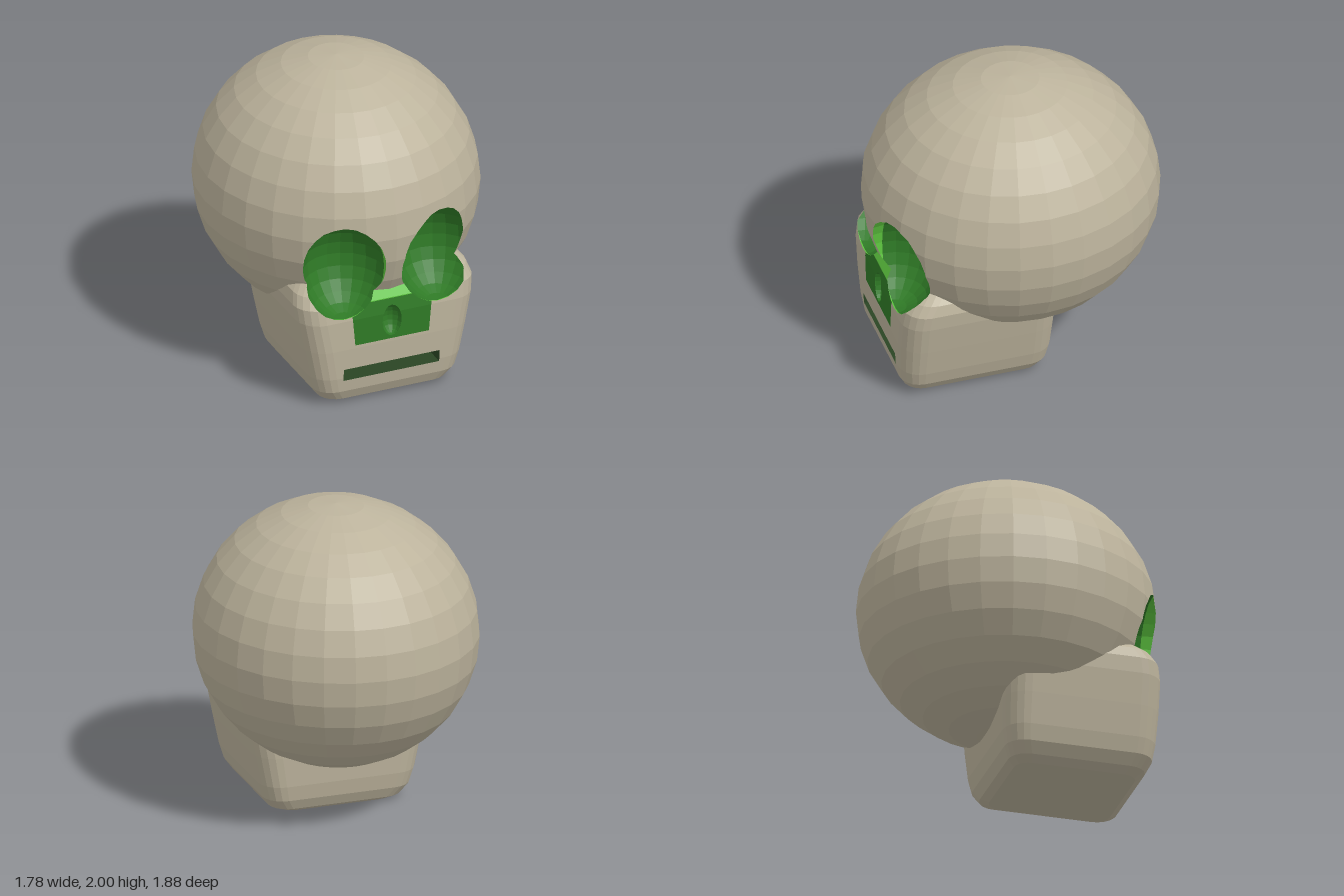
import * as THREE from 'three';
import { ConvexGeometry } from 'three/addons/geometries/ConvexGeometry.js';

const V = (x, y, z) => new THREE.Vector3(x, y, z);
const EPS = 1e-6;

// ---- convex solids as lists of polygons, cut against sets of planes ----
function polygonsOf(geometry) {
  const p = (geometry.index ? geometry.toNonIndexed() : geometry).attributes.position;
  const list = [];
  for (let i = 0; i < p.count; i += 3) {
    const t = [0, 1, 2].map((k) => V().fromBufferAttribute(p, i + k));
    if (new THREE.Triangle(...t).getArea() > 1e-9) list.push(t);
  }
  return list;
}

const normalOf = (poly) => new THREE.Triangle(poly[0], poly[1], poly[2]).getNormal(V());

function planesOf(polys) {
  const found = new Map();
  for (const poly of polys) {
    const plane = new THREE.Plane().setFromNormalAndCoplanarPoint(normalOf(poly), poly[0]);
    const key = [...plane.normal.toArray(), plane.constant].map((n) => n.toFixed(4)).join();
    found.set(key, plane);
  }
  return [...found.values()];
}

function split(poly, plane) {
  const d = poly.map((v) => plane.distanceToPoint(v));
  if (d.every((n) => n <= EPS)) return [null, poly];
  if (d.every((n) => n >= -EPS)) return [poly, null];
  const front = [], back = [];
  poly.forEach((a, i) => {
    const j = (i + 1) % poly.length;
    if (d[i] >= -EPS) front.push(a);
    if (d[i] <= EPS) back.push(a);
    if ((d[i] > EPS && d[j] < -EPS) || (d[i] < -EPS && d[j] > EPS)) {
      const cut = a.clone().lerp(poly[j], d[i] / (d[i] - d[j]));
      front.push(cut);
      back.push(cut);
    }
  });
  return [front, back];
}

// Sorts surface pieces into those outside and inside a convex solid
function divide(polys, planes) {
  const outside = [], inside = [];
  for (const poly of polys) {
    let rest = poly;
    const pieces = [];
    for (const plane of planes) {
      const [front, back] = split(rest, plane);
      if (front && back) pieces.push(front);
      rest = back;
      if (!rest) break;
    }
    if (rest) {
      inside.push(rest);
      outside.push(...pieces);
    } else outside.push(poly);
  }
  return { outside, inside };
}

const flip = (polys) => polys.map((p) => [...p].reverse());

function ellipsoid(center, radii, around, rings) {
  const g = new THREE.SphereGeometry(1, around, rings);
  g.scale(...radii).translate(...center);
  return polygonsOf(g);
}

// Jaw block: rounded rectangles [y, half width, front z, back z, corner radius]
function jawBlock() {
  const rows = [
    [0, 0.36, 0.75, -0.03, 0.09], [0.03, 0.43, 0.8, -0.08, 0.12],
    [0.1, 0.48, 0.835, -0.115, 0.13], [0.2, 0.51, 0.85, -0.133, 0.14],
    [0.4, 0.552, 0.86, -0.145, 0.15], [0.6, 0.59, 0.86, -0.147, 0.15],
    [0.7, 0.6, 0.845, -0.14, 0.15], [0.77, 0.58, 0.8, -0.1, 0.15],
    [0.82, 0.53, 0.74, -0.05, 0.14], [0.84, 0.46, 0.66, 0, 0.12],
  ];
  const points = [];
  for (const [y, hx, zf, zb, r] of rows) {
    for (let q = 0; q < 4; q++) {
      const sx = q === 0 || q === 3 ? 1 : -1;
      const cz = q < 2 ? zf - r : zb + r;
      for (let i = 0; i <= 5; i++) {
        const a = (q + i / 5) * Math.PI / 2;
        points.push(V(sx * (hx - r) + r * Math.cos(a), y, cz + r * Math.sin(a)));
      }
    }
  }
  return polygonsOf(new ConvexGeometry(points));
}

export function createModel() {
  const group = new THREE.Group();
  const material = (name, color) => {
    const m = new THREE.MeshStandardMaterial({ color });
    m.name = name;
    return m;
  };
  const bone = material('bone', 0xbcb39c);
  const deepGreen = material('deep green', 0x2f7a26);
  const brightGreen = material('bright green', 0x5cc43e);
  const mouthGreen = material('mouth green', 0x2a4524);

  const add = (name, polys, mat) => {
    const coords = [];
    for (const p of polys)
      for (let i = 1; i < p.length - 1; i++)
        for (const v of [p[0], p[i], p[i + 1]]) coords.push(v.x, v.y, v.z);
    const g = new THREE.BufferGeometry();
    g.setAttribute('position', new THREE.Float32BufferAttribute(coords, 3));
    g.computeVertexNormals();
    const mesh = new THREE.Mesh(g, mat);
    mesh.name = name;
    group.add(mesh);
  };

  let cranium = ellipsoid([0, 1.155, 0], [0.89, 0.845, 0.94], 28, 16);
  let jaw = jawBlock();
  const craniumPlanes = planesOf(cranium);
  const jawPlanes = planesOf(jaw);

  // Eye sockets, hollowed out of both cranium and jaw
  for (const [side, name] of [[1, 'leftEyeSocket'], [-1, 'rightEyeSocket']]) {
    const eye = ellipsoid([side * 0.315, 0.935, 0.85], [0.265, 0.32, 0.28], 20, 12);
    const planes = planesOf(eye);
    cranium = divide(cranium, planes).outside;
    jaw = divide(jaw, planes).outside;
    const inCranium = divide(eye, craniumPlanes);
    const inJaw = divide(inCranium.outside, jawPlanes);
    const hollow = flip([...inCranium.inside, ...inJaw.inside]);
    add(name, hollow.filter((p) => normalOf(p).z >= 0), deepGreen);
    add(name + 'Rim', hollow.filter((p) => normalOf(p).z < 0), brightGreen);
  }

  // Nostril hollow
  const nostril = ellipsoid([0, 0.545, 0.855], [0.066, 0.105, 0.07], 12, 10);
  jaw = divide(jaw, planesOf(nostril)).outside;
  add('nostril', flip(divide(nostril, jawPlanes).inside), deepGreen);

  // Mouth slot
  const box = new THREE.BoxGeometry(0.65, 0.08, 0.3).translate(0, 0.22, 0.86);
  const mouth = polygonsOf(box);
  jaw = divide(jaw, planesOf(mouth)).outside;
  const slot = flip(divide(mouth, jawPlanes).inside);
  add('mouthWalls', slot.filter((p) => normalOf(p).z < 0.5), mouthGreen);
  add('mouthBack', slot.filter((p) => normalOf(p).z >= 0.5), bone);

  // Coloured nose area on the front of the jaw, brighter on the rounded top
  const nose = divide(jaw, [
    new THREE.Plane(V(1, -0.09, 0), -0.212),
    new THREE.Plane(V(-1, -0.09, 0), -0.212),
    new THREE.Plane(V(0, -1, 0), 0.42),
    new THREE.Plane(V(0, 0, -1), 0.5),
  ]);
  const noseParts = divide(nose.inside, [new THREE.Plane(V(0, 1, 0), -0.695)]);
  add('nosePanel', noseParts.inside, deepGreen);
  add('noseBridge', noseParts.outside, brightGreen);

  add('cranium', cranium, bone);
  add('jaw', nose.outside, bone);
  return group;
}
